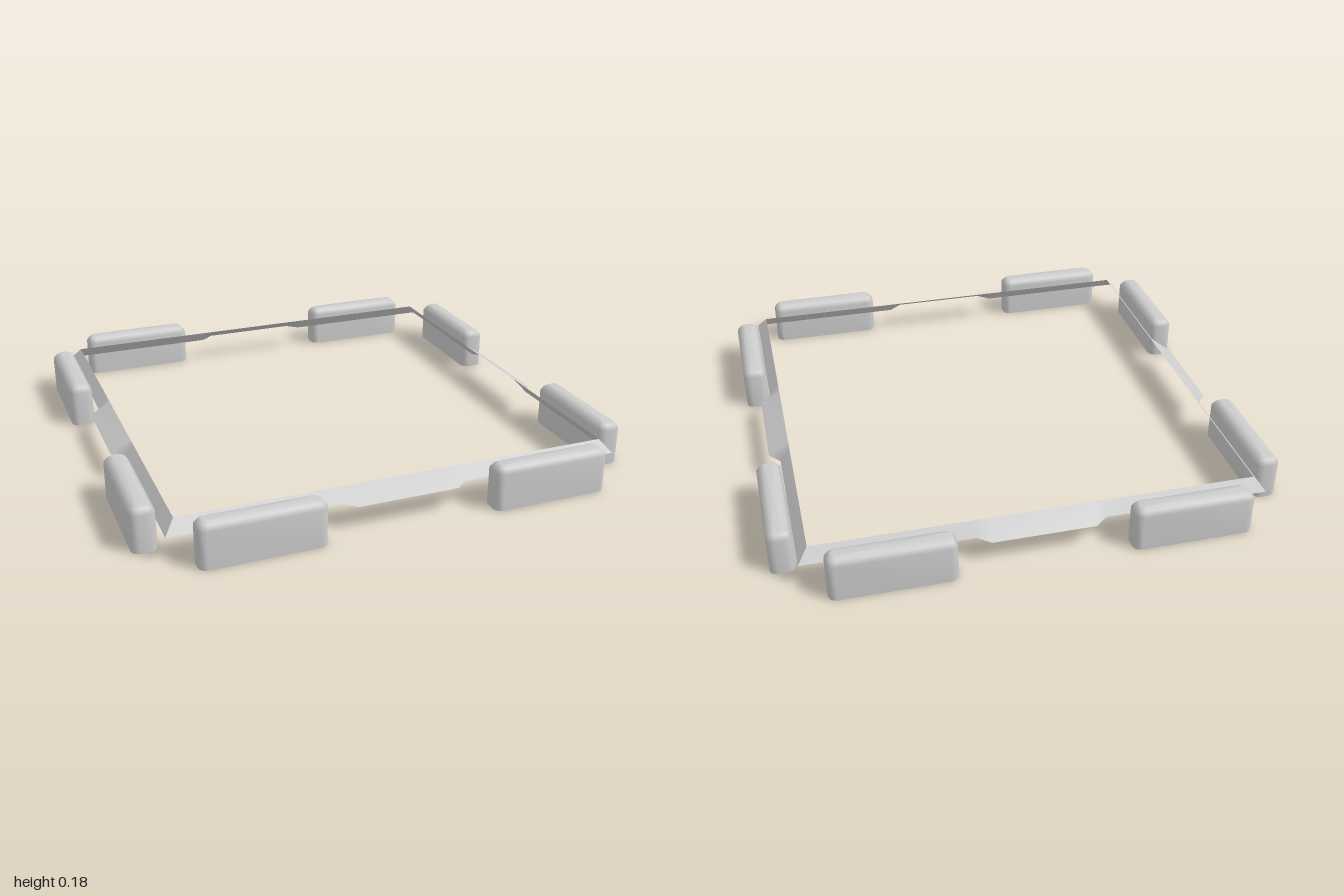
import * as THREE from 'three';

const material = new THREE.MeshStandardMaterial({ color: 0xcccccc, side: THREE.DoubleSide });

function indexed(positions, index) {
  const g = new THREE.BufferGeometry();
  g.setAttribute('position', new THREE.Float32BufferAttribute(positions, 3));
  g.setIndex(index);
  g.computeVertexNormals();
  return g;
}

// Sloping strip along one side, flaring outwards at its middle; [inner x, outer x, outer z]
function railGeometry() {
  const half = [[0.2, 0.2, 0.942], [0.25, 0.25, 0.9], [0.86, 0.9, 0.9]];
  const stations = [
    ...half.map(([a, b, z]) => [-a, -b, z]).reverse(),
    ...half,
  ];
  const pos = [], idx = [];
  stations.forEach(([xi, xo, zo], i) => {
    pos.push(xi, 0.15, 0.86, xo, 0.1, zo);
    if (i === 0) return;
    const a = 2 * (i - 1), b = 2 * i;
    idx.push(a + 1, b + 1, b, a + 1, b, a);
  });
  return indexed(pos, idx);
}

// Plan outline of a block, a rectangle with softened corners
function outline(hx, hz, r) {
  const pts = [], steps = 3;
  [[1, 1], [-1, 1], [-1, -1], [1, -1]].forEach(([sx, sz], q) => {
    for (let k = 0; k <= steps; k++) {
      const t = (q + k / steps) * Math.PI / 2;
      pts.push([sx * (hx - r) + r * Math.cos(t), sz * (hz - r) + r * Math.sin(t)]);
    }
  });
  return pts;
}

// Hollow block, open underneath, with a bevelled top
function blockGeometry() {
  const rings = [[0, 0], [0.15, 0], [0.168, 0.013], [0.178, 0.028]];
  const pos = [], idx = [];
  let n = 0;
  rings.forEach(([y, inset], j) => {
    const loop = outline(0.238 - inset, 0.048 - inset, 0.03 - inset * 0.6);
    n = loop.length;
    loop.forEach(([x, z], i) => {
      pos.push(x, y, z);
      if (j === 0) return;
      const k = (i + 1) % n, lo = (j - 1) * n, hi = j * n;
      idx.push(lo + i, hi + i, hi + k, lo + i, hi + k, lo + k);
    });
  });
  // top cap
  const centre = pos.length / 3, top = (rings.length - 1) * n;
  pos.push(0, 0.178, 0);
  for (let i = 0; i < n; i++) idx.push(centre, top + (i + 1) % n, top + i);
  return indexed(pos, idx);
}

export function createModel() {
  const model = new THREE.Group();
  model.name = 'squareFrame';
  const rail = railGeometry(), block = blockGeometry();

  // Four identical sides: one rail and two blocks each
  ['front', 'left', 'back', 'right'].forEach((name, i) => {
    const side = new THREE.Group();
    side.name = name + 'Side';
    const railMesh = new THREE.Mesh(rail, material);
    railMesh.name = name + 'Rail';
    side.add(railMesh);
    for (const s of [-1, 1]) {
      const b = new THREE.Mesh(block, material);
      b.name = name + 'Block' + (s < 0 ? 'A' : 'B');
      b.position.set(s * 0.572, 0, 0.952);
      side.add(b);
    }
    side.rotation.y = i * Math.PI / 2;
    model.add(side);
  });
  return model;
}
